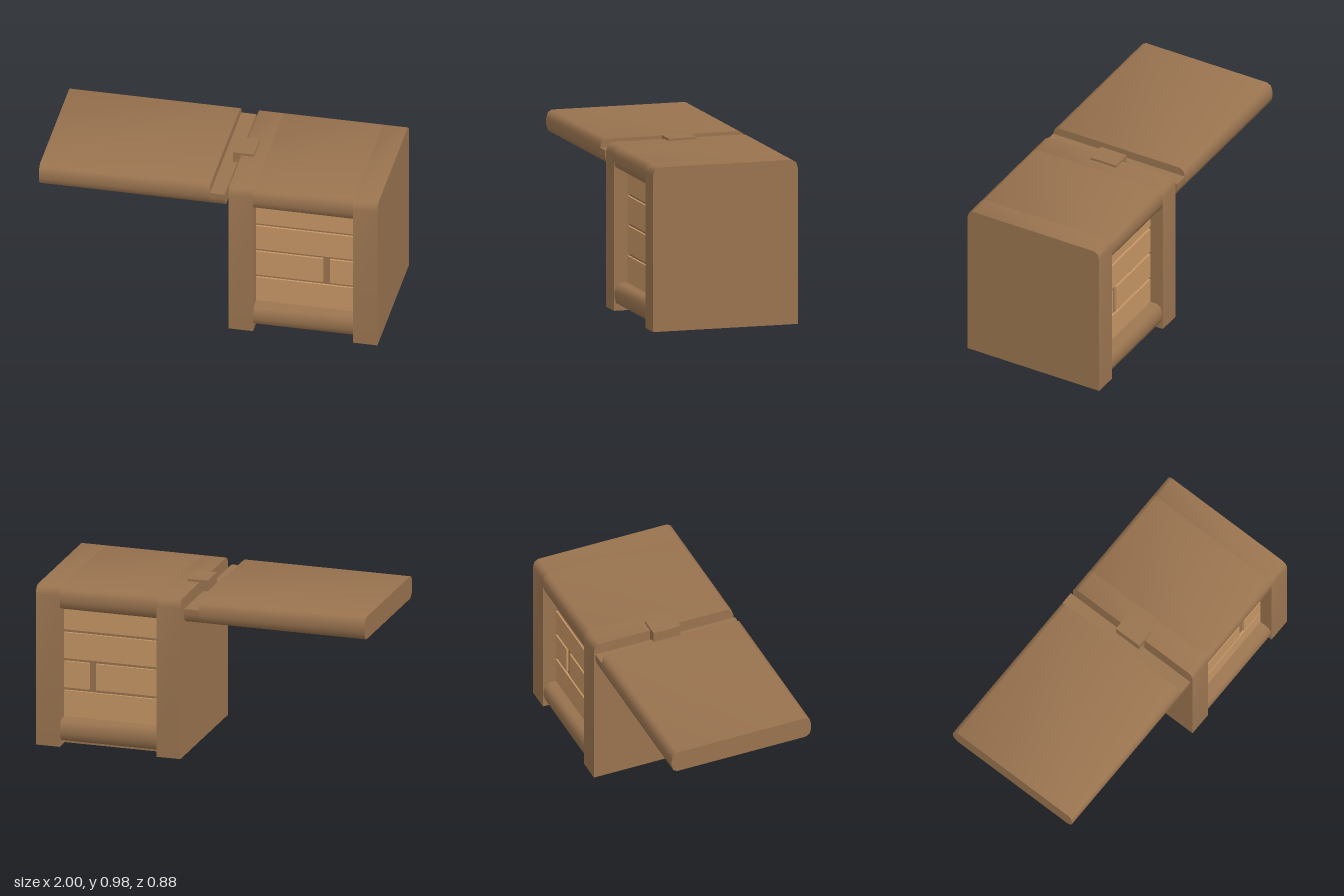
import * as THREE from 'three';
import { toCreasedNormals } from 'three/addons/utils/BufferGeometryUtils.js';

const wood = new THREE.MeshStandardMaterial({ color: 0x99734f });
wood.name = 'brownWood';
const paleWood = new THREE.MeshStandardMaterial({ color: 0xc69665 });
paleWood.name = 'paleWood';

const HALF = 0.44; // half depth of the chest

// Mirrored (z, y) outline extruded along x from x0 to x1, soft on its rounded edges
function prism(name, half, x0, x1) {
  const pts = [...half, ...half.map(([z, y]) => [-z, y]).reverse()];
  const shape = new THREE.Shape(pts.map(([z, y]) => new THREE.Vector2(z, y)));
  const geo = new THREE.ExtrudeGeometry(shape, { depth: x1 - x0, bevelEnabled: false });
  geo.rotateY(Math.PI / 2).translate(x0, 0, 0);
  const mesh = new THREE.Mesh(toCreasedNormals(geo, 0.9), wood);
  mesh.name = name;
  return mesh;
}

// Box given by its limits
function box(name, material, x0, x1, y0, y1, z0, z1) {
  const mesh = new THREE.Mesh(new THREE.BoxGeometry(x1 - x0, y1 - y0, z1 - z0), material);
  mesh.position.set((x0 + x1) / 2, (y0 + y1) / 2, (z0 + z1) / 2);
  mesh.name = name;
  return mesh;
}

const lowerEdge = (y, h = HALF) => [[h - 0.035, y], [h - 0.01, y + 0.015], [h, y + 0.05]];
const upperEdge = (y, h = HALF) => [[h, y - 0.05], [h - 0.01, y - 0.015], [h - 0.035, y]];
const slab = (y0, y1, h) => [...lowerEdge(y0, h), ...upperEdge(y1, h)];

export function createModel() {
  const model = new THREE.Group();
  model.name = 'chest';

  // Thick side panels with rounded top edges
  const panel = [[HALF, 0], ...upperEdge(0.965)];
  model.add(prism('rightPanel', panel, 0.12, 0.265));
  model.add(prism('leftPanel', panel, 0.855, 1));

  // Rails between the panels and the recessed core
  model.add(prism('topRail', slab(0.83, 0.965), 0.265, 0.855));
  model.add(prism('bottomRail', slab(0.03, 0.162, 0.435), 0.265, 0.855));
  model.add(box('core', wood, 0.265, 0.855, 0, 0.9, -0.345, 0.345));

  // Planks on the front and back: x0, x1, y0, y1
  const planks = [
    [0.265, 0.855, 0.15, 0.32],
    [0.265, 0.66, 0.338, 0.497],
    [0.702, 0.855, 0.338, 0.497],
    [0.265, 0.855, 0.515, 0.672],
    [0.265, 0.855, 0.69, 0.85],
  ];
  for (const side of [1, -1]) {
    const group = new THREE.Group();
    group.name = side > 0 ? 'frontPlanks' : 'backPlanks';
    for (const p of planks) {
      const plank = box('plank', paleWood, ...p, 0.34, 0.358);
      plank.position.z *= side;
      group.add(plank);
    }
    model.add(group);
  }

  // Opened lid with a lower tongue beside the chest
  model.add(prism('lid', slab(0.83, 0.965), -1, 0.01));
  model.add(prism('lidTongue', [...lowerEdge(0.83), [HALF, 0.915]], 0.01, 0.098));

  // Hinge
  const hinge = new THREE.Group();
  hinge.name = 'hinge';
  hinge.add(box('hingeUpright', wood, 0.07, 0.12, 0.815, 0.965, -0.085, 0.085));
  hinge.add(box('hingePlate', wood, 0.07, 0.195, 0.965, 0.98, -0.085, 0.085));
  model.add(hinge);

  return model;
}
